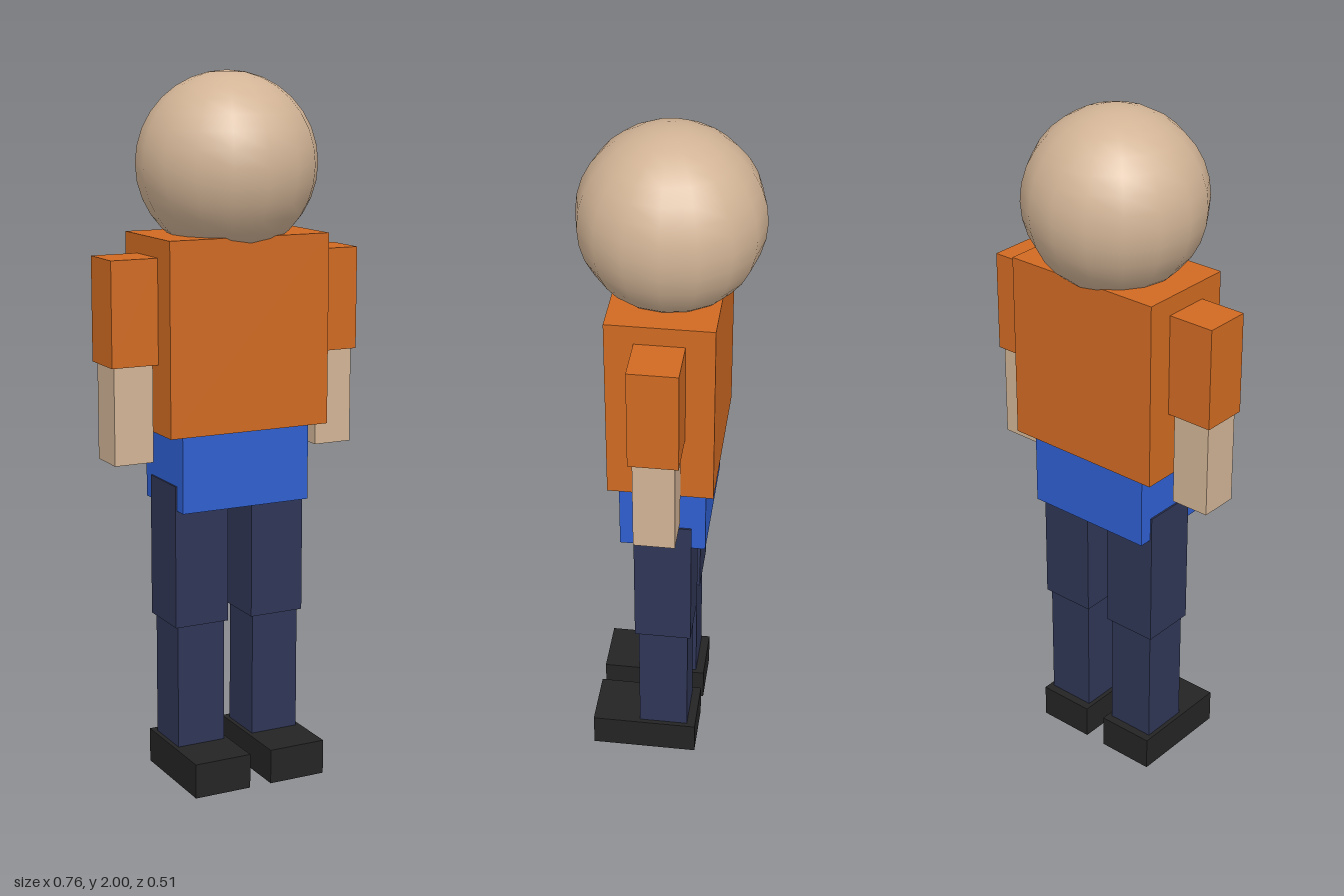
import * as THREE from 'three';

const material = (name, color) => {
  const m = new THREE.MeshStandardMaterial({ color });
  m.name = name;
  return m;
};

export function createModel() {
  const skin = material('skin', 0xd2b496);
  const shirt = material('orange shirt', 0xd06a22);
  const shorts = material('blue hips', 0x2f5fd0);
  const trousers = material('navy trousers', 0x2f3656);
  const leather = material('black shoes', 0x242424);

  const model = new THREE.Group();
  model.name = 'blockFigure';

  // Box given by its extents on each axis
  const box = (parent, name, mat, [x0, x1], [y0, y1], [z0, z1]) => {
    const mesh = new THREE.Mesh(new THREE.BoxGeometry(x1 - x0, y1 - y0, z1 - z0), mat);
    mesh.position.set((x0 + x1) / 2, (y0 + y1) / 2, (z0 + z1) / 2);
    mesh.name = name;
    parent.add(mesh);
  };

  // Head, sunk slightly into the torso
  const head = new THREE.Mesh(new THREE.SphereGeometry(0.253, 16, 16), skin);
  head.position.y = 1.747;
  head.name = 'head';
  model.add(head);

  // Body
  box(model, 'torso', shirt, [-0.243, 0.243], [1.02, 1.558], [-0.146, 0.146]);
  box(model, 'hips', shorts, [-0.196, 0.196], [0.8, 1.02], [-0.121, 0.121]);

  // Arms and legs, one set per side
  for (const [side, s] of [['left', 1], ['right', -1]]) {
    const span = (inner, outer) => (s > 0 ? [inner, outer] : [-outer, -inner]);

    const arm = new THREE.Group();
    arm.name = side + 'Arm';
    box(arm, side + 'Sleeve', shirt, span(0.243, 0.38), [1.213, 1.505], [-0.068, 0.068]);
    box(arm, side + 'Forearm', skin, span(0.255, 0.37), [0.94, 1.213], [-0.057, 0.057]);

    const leg = new THREE.Group();
    leg.name = side + 'Leg';
    box(leg, side + 'Thigh', trousers, span(0.037, 0.201), [0.46, 0.87], [-0.082, 0.082]);
    box(leg, side + 'Shin', trousers, span(0.046, 0.191), [0.1, 0.46], [-0.072, 0.072]);
    box(leg, side + 'Shoe', leather, span(0.033, 0.204), [0, 0.1], [-0.097, 0.213]);

    model.add(arm, leg);
  }
  return model;
}
